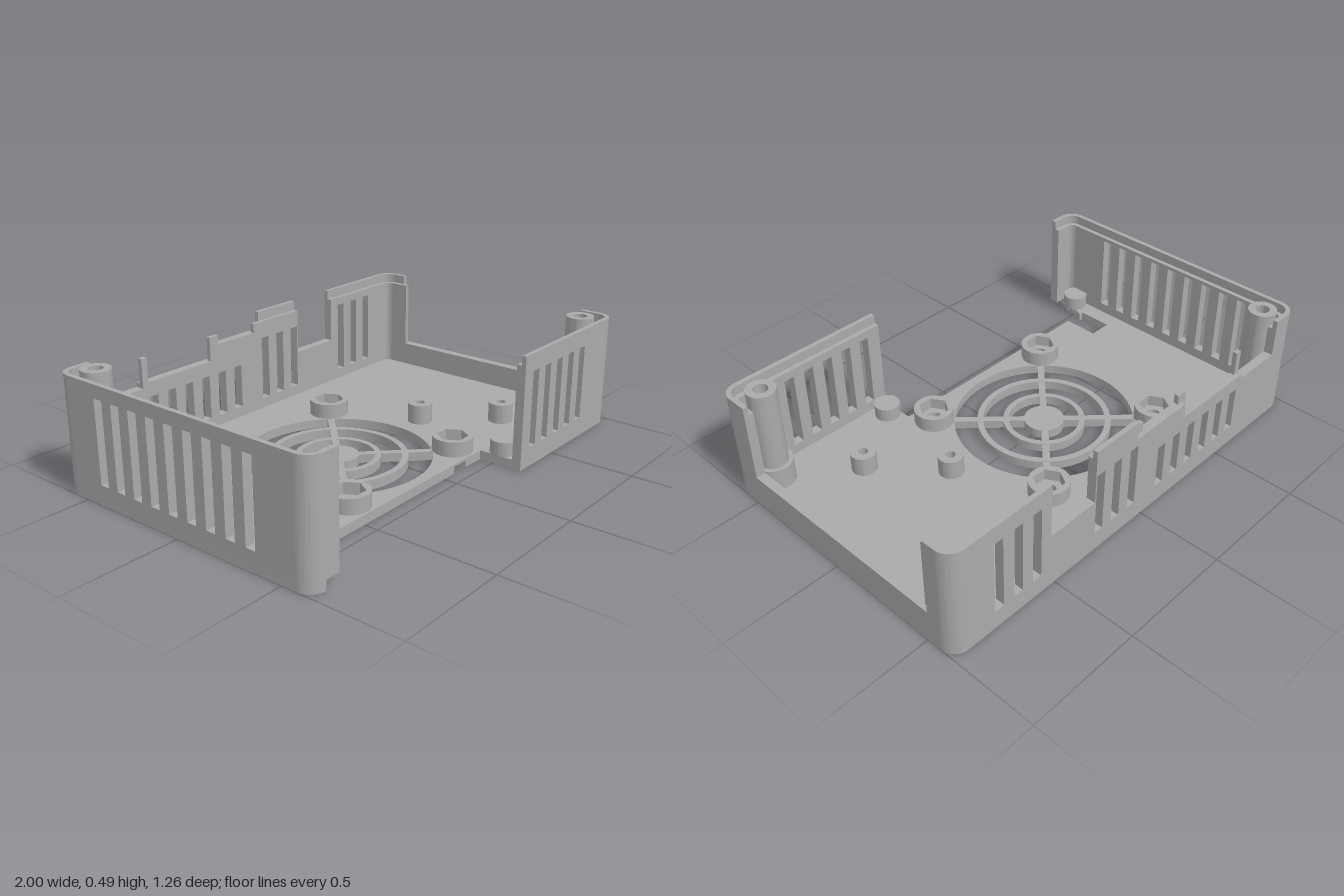
import * as THREE from 'three';
import { toCreasedNormals } from 'three/addons/utils/BufferGeometryUtils.js';

const X = 1, Z = 0.632, R = 0.07;      // outer half sizes and corner radius
const T = 0.02, FLOOR = 0.04;          // thickness of one wall layer, floor top
const TOP = 0.485, LEDGE = 0.445;      // outer lip and inner ledge heights

export function createModel() {
  const model = new THREE.Group();
  const plastic = new THREE.MeshStandardMaterial({ color: 0xaaaaaa });
  plastic.name = 'grey plastic';

  const add = (name, geo, x = 0, y = 0, z = 0, parent = model) => {
    const mesh = new THREE.Mesh(toCreasedNormals(geo, 0.5), plastic);
    mesh.name = name;
    mesh.position.set(x, y, z);
    parent.add(mesh);
    return mesh;
  };
  const extrude = (shape, depth) =>
    new THREE.ExtrudeGeometry(shape, { depth, bevelEnabled: false, curveSegments: 32 });
  // plan shapes use (x, -z) and rise along y
  const rise = (shape, h) => extrude(shape, h).rotateX(-Math.PI / 2);
  const poly = (pts, C = THREE.Shape) => new C(pts.map(p => new THREE.Vector2(p[0], p[1])));
  const rect = (a, b, c, d, C) => poly([[a, b], [c, b], [c, d], [a, d]], C);
  const disc = (x, z, r, C = THREE.Path) => new C().absarc(x, -z, r, 0, Math.PI * 2, false);
  const ring = (outer, inner) => {
    const s = disc(0, 0, outer, THREE.Shape);
    s.holes.push(disc(0, 0, inner));
    return s;
  };

  // Layout
  const fan = { x: -0.14, z: 0.01, r: 0.386 };
  const bosses = [[-1, -1], [1, -1], [-1, 1], [1, 1]].map(([i, j]) =>
    [fan.x + i * 0.333, fan.z + j * 0.335]);
  const posts = [[-0.89, -0.535], [0.885, 0.525]];
  const studs = [[-0.92, 0.52], [0.305, 0.52]];

  // Floor: rounded plate with an open front edge, fan hole and screw holes
  const floorShape = under => {
    const s = new THREE.Shape();
    s.moveTo(-0.865, -Z);
    s.absarc(-X + R, -Z + R, R, -Math.PI / 2, -Math.PI, true);
    s.absarc(-X + R, Z - R, R, Math.PI, Math.PI / 2, true);
    s.absarc(X - R, Z - R, R, Math.PI / 2, 0, true);
    s.absarc(X - R, -Z + R, R, 0, -Math.PI / 2, true);
    const edge = [[0.257, -Z], [0.257, -0.44]];
    if (under) edge.push([0.15, -0.44], [0.15, -0.39], [0.07, -0.39], [0.07, -0.44]);
    edge.push([-0.78, -0.44], [-0.78, -0.28], [-0.885, -0.28], [-0.885, -0.44], [-0.865, -0.44]);
    edge.forEach(p => s.lineTo(p[0], p[1]));
    s.closePath();
    s.holes.push(disc(fan.x, fan.z, fan.r));
    bosses.forEach(([x, z]) => s.holes.push(disc(x, z, 0.03)));
    posts.forEach(([x, z]) => s.holes.push(disc(x, z, 0.052)));
    if (under) studs.forEach(([x, z]) =>
      s.holes.push(rect(x - 0.025, -z - 0.025, x + 0.025, -z + 0.025, THREE.Path)));
    return s;
  };
  add('floorUnderside', rise(floorShape(true), 0.03));
  add('floorTop', rise(floorShape(false), FLOOR - 0.03), 0, 0.03);

  // Fan grille: hub, two rings and crossed spokes
  const grille = new THREE.Group();
  grille.name = 'fanGrille';
  grille.position.set(fan.x, 0, fan.z);
  model.add(grille);
  add('grilleHub', rise(disc(0, 0, 0.086, THREE.Shape), FLOOR), 0, 0, 0, grille);
  [[0.176, 0.152], [0.288, 0.262]].forEach(([a, b]) =>
    add('grilleRing', rise(ring(a, b), FLOOR), 0, 0, 0, grille));
  for (let i = 0; i < 4; i++) {
    const a = Math.PI / 4 + i * Math.PI / 2, mid = 0.235;
    const spoke = add('grilleSpoke', new THREE.BoxGeometry(0.32, FLOOR - 0.002, 0.03),
      Math.cos(a) * mid, FLOOR / 2, Math.sin(a) * mid, grille);
    spoke.rotation.y = -a;
  }

  // Nut bosses with hexagonal pockets
  const hexBoss = disc(0, 0, 0.085, THREE.Shape);
  hexBoss.holes.push(poly([0, 1, 2, 3, 4, 5].map(i =>
    [0.065 * Math.cos(i * Math.PI / 3), 0.065 * Math.sin(i * Math.PI / 3)]), THREE.Path));
  bosses.forEach(([x, z]) => {
    add('nutBossBase', rise(ring(0.085, 0.03), 0.015), x, FLOOR, z);
    add('nutBoss', rise(hexBoss, 0.05), x, FLOOR + 0.015, z);
  });

  // Tall screw posts with counterbored feet
  const postProfile = [[0.052, 0.04], [0.078, 0.04], [0.078, 0.14], [0.06, 0.14], [0.06, 0.49],
    [0.03, 0.49], [0.03, 0.1], [0.052, 0.1], [0.052, 0.04]].map(p => new THREE.Vector2(...p));
  posts.forEach(([x, z]) => add('screwPost', new THREE.LatheGeometry(postProfile, 40), x, 0, z));

  // Small standoffs and front studs
  [[0.37, 0.05], [0.6, 0.32]].forEach(([x, z]) =>
    add('standoff', rise(ring(0.053, 0.02), 0.085), x, FLOOR, z));
  studs.forEach(([x, z]) =>
    add('frontStud', rise(disc(0, 0, 0.055, THREE.Shape), 0.06), x, FLOOR, z));

  // Rounded corners: outer lip plus lower inner layer
  [[-1, -1], [1, -1], [1, 1], [-1, 1]].forEach(([i, j]) => {
    const mid = Math.atan2(-j, i), a = mid - Math.PI / 4, b = mid + Math.PI / 4;
    [[R, R - T, TOP], [R - T, R - 2 * T, LEDGE]].forEach(([ro, ri, top]) => {
      const s = new THREE.Shape();
      s.absarc(0, 0, ro, a, b, false);
      s.absarc(0, 0, ri, b, a, true);
      add('corner', rise(s, top - FLOOR), i * (X - R), FLOOR, j * (Z - R));
    });
  });

  // Wall layer: stepped skyline of [start, end, height] runs, with slots cut out
  const layer = (runs, slots) => {
    const pts = [[runs[0][0], FLOOR]];
    runs.forEach(([a, b, h]) => pts.push([a, h], [b, h]));
    pts.push([runs[runs.length - 1][1], FLOOR]);
    const s = poly(pts);
    slots.forEach(([u, y]) => s.holes.push(rect(u, 0.085, u + 0.044, y, THREE.Path)));
    return extrude(s, T);
  };
  const slotRow = (start, n, top) =>
    Array.from({ length: n }, (_, i) => [start + i * 0.0943, top]);
  const EX = X - R, EZ = Z - R;

  // Back wall with port cut-outs
  const backSlots = [...slotRow(-0.6, 6, 0.278), ...slotRow(0.046, 3, 0.37), ...slotRow(0.57, 3, 0.41)];
  add('backWallOuter', layer([[-EX, -0.855, TOP], [-0.855, -0.63, 0.32], [-0.63, -0.24, 0.34],
    [-0.24, 0.05, 0.405], [0.05, 0.285, TOP], [0.285, 0.52, 0.245], [0.52, EX, TOP]], backSlots), 0, 0, -Z);
  add('backWallInner', layer([[-EX, -0.855, LEDGE], [-0.855, -0.63, 0.32], [-0.63, -0.602, LEDGE],
    [-0.602, -0.262, 0.34], [-0.262, -0.215, LEDGE], [-0.215, 0, 0.405], [0, 0.285, LEDGE],
    [0.285, 0.52, 0.245], [0.52, EX, LEDGE]], backSlots), 0, 0, -Z + T);

  // Front wall: slotted part and short stub on the other side of the opening
  const frontSlots = slotRow(0.318, 5, 0.41);
  [[TOP, Z - T, 'Outer'], [LEDGE, Z - 2 * T, 'Inner']].forEach(([h, z, n]) => {
    add('frontWall' + n, layer([[0.257, EX, h]], frontSlots), 0, 0, z);
    add('frontStub' + n, layer([[-EX, -0.865, h]], []), 0, 0, z);
  });

  // Side walls: slotted on -x, cut low on +x
  const sideWall = (name, runs, slots, x) =>
    add(name, layer(runs, slots).rotateY(-Math.PI / 2), x);
  const sideSlots = slotRow(-0.413, 9, 0.43);
  sideWall('slottedSideOuter', [[-EZ, EZ, TOP]], sideSlots, -X + T);
  sideWall('slottedSideInner', [[-EZ, EZ, LEDGE]], sideSlots, -X + 2 * T);
  sideWall('lowSideOuter', [[-EZ, -0.505, TOP], [-0.505, 0.475, 0.145], [0.475, EZ, TOP]], [], X);
  sideWall('lowSideInner', [[-EZ, -0.475, LEDGE], [-0.475, 0.475, 0.145], [0.475, EZ, LEDGE]], [], X - T);

  return model;
}
